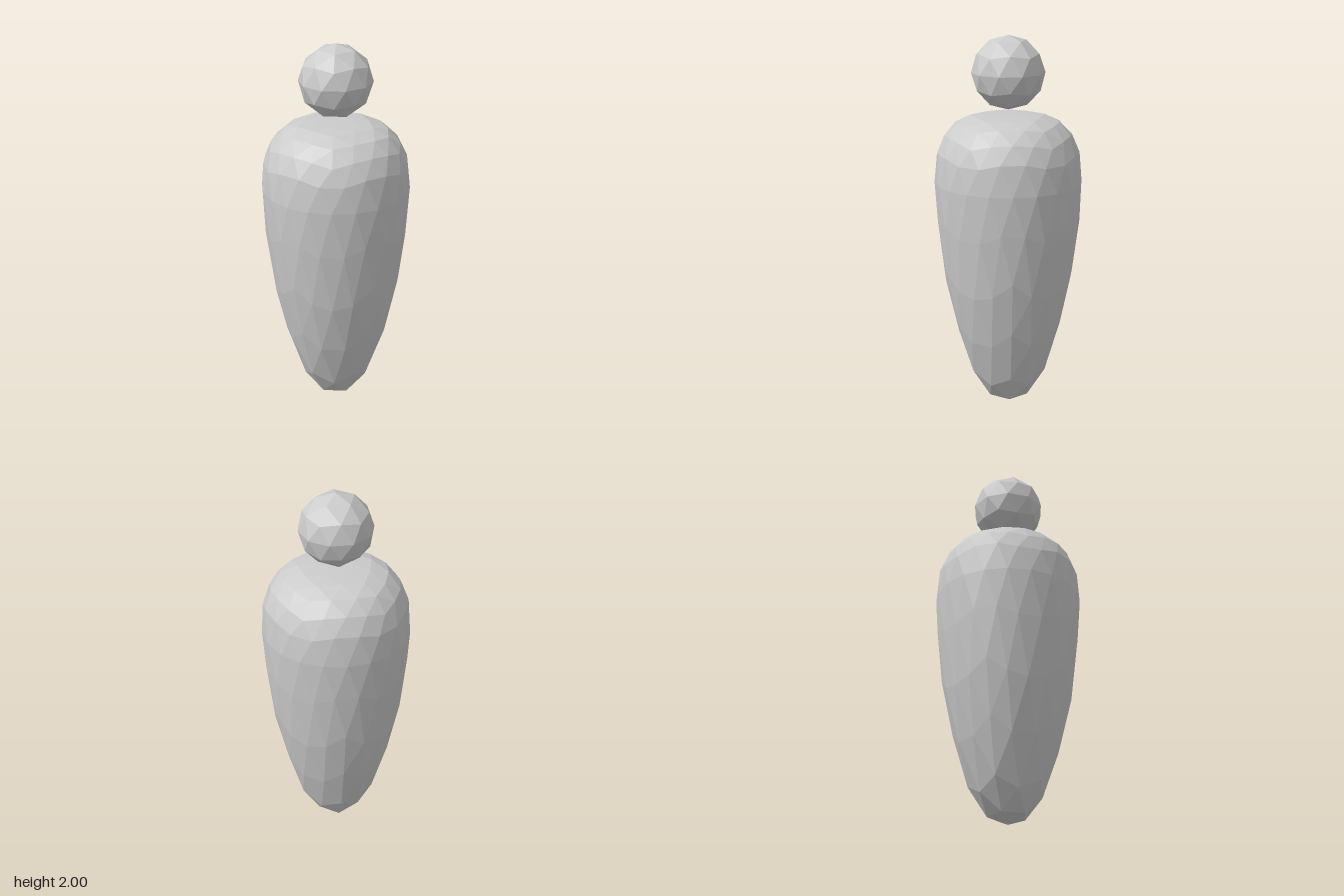
import * as THREE from 'three';

// Unit icosphere with poles on y, refined by repeated edge midpoints
function icosphere(levels) {
  const base = new THREE.IcosahedronGeometry(1, 0);
  base.rotateX(-Math.atan2(1 + Math.sqrt(5), 2));
  base.rotateY(Math.PI / 2);
  const pos = base.getAttribute('position');
  let points = [];
  for (let i = 0; i < pos.count; i++) points.push(new THREE.Vector3().fromBufferAttribute(pos, i));
  const mid = (a, b) => a.clone().add(b).normalize();
  for (let n = 0; n < levels; n++) {
    const next = [];
    for (let i = 0; i < points.length; i += 3) {
      const [a, b, c] = points.slice(i, i + 3);
      const ab = mid(a, b), bc = mid(b, c), ca = mid(c, a);
      next.push(a, ab, ca, ab, b, bc, ca, bc, c, ab, bc, ca);
    }
    points = next;
  }
  return new THREE.BufferGeometry().setFromPoints(points);
}

// Height on the unit sphere -> height on the body
const heights = [
  [-1, 0], [-0.962, 0.04], [-0.894, 0.138], [-0.85, 0.196], [-0.674, 0.477],
  [-0.526, 0.668], [-0.447, 0.769], [-0.27, 0.997], [0, 1.238], [0.27, 1.395],
  [0.447, 1.46], [0.526, 1.49], [0.674, 1.54], [0.85, 1.58], [0.962, 1.588], [1, 1.59],
];
function bodyHeight(u) {
  let i = 1;
  while (i < heights.length - 1 && u > heights[i][0]) i++;
  const [u0, y0] = heights[i - 1], [u1, y1] = heights[i];
  return THREE.MathUtils.mapLinear(THREE.MathUtils.clamp(u, u0, u1), u0, u1, y0, y1);
}

export function createModel() {
  const group = new THREE.Group();
  const material = new THREE.MeshStandardMaterial({ color: 0xcccccc, flatShading: true });

  const add = (name, geometry) => {
    geometry.computeVertexNormals();
    const mesh = new THREE.Mesh(geometry, material);
    mesh.name = name;
    group.add(mesh);
  };

  // Tapered body: flat shoulders, long rounded point below
  const body = icosphere(2);
  const pos = body.getAttribute('position');
  for (let i = 0; i < pos.count; i++) {
    pos.setXYZ(i, pos.getX(i) * 0.387, bodyHeight(pos.getY(i)), pos.getZ(i) * 0.387);
  }
  add('body', body);

  // Floating head
  const head = icosphere(1);
  head.scale(0.192, 0.192, 0.192);
  head.translate(0, 1.808, 0);
  add('head', head);

  return group;
}
